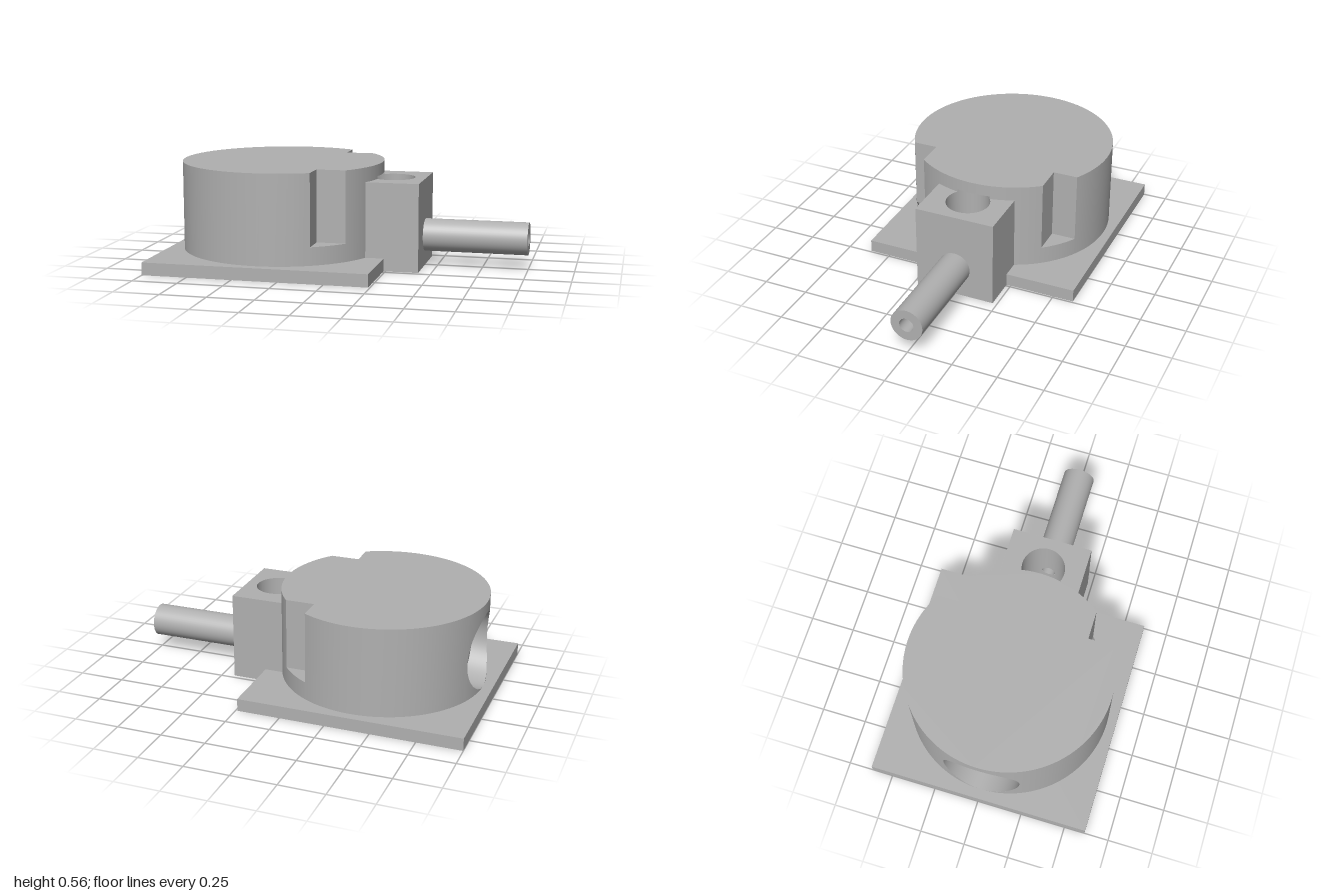
import * as THREE from 'three';

const CX = -0.38, R = 0.565, BASE = 0.07, TOP = 0.565;      // round body
const NX = -0.1, NZ = 0.355, NY = 0.17;                     // corner notches
const HX = 0.25, HR = 0.12, HTOP = 0.5;                     // vertical hole
const BX0 = 0.12, BX1 = 0.43, BZ = 0.225, BTOP = 0.485;     // side block
const TY = 0.17, TR = 0.09, BORE = 0.04;                    // tube
const RY = 0.285, RR = 0.215, RX = -0.82, PORT = 0.025;     // round side recess

export function createModel() {
  const model = new THREE.Group();
  const grey = new THREE.MeshStandardMaterial({ color: 0xb0b0b0, side: THREE.DoubleSide });
  grey.name = 'grey metal';

  const add = (name, geometry, x = 0, y = 0, z = 0, parent = model) => {
    const mesh = new THREE.Mesh(geometry, grey);
    mesh.name = name;
    mesh.position.set(x, y, z);
    parent.add(mesh);
    return mesh;
  };
  const group = (name) => {
    const g = new THREE.Group();
    g.name = name;
    model.add(g);
    return g;
  };

  // Smooth surface between two rows of points
  const strip = (a, b) => {
    const pos = [], index = [];
    a.forEach((p, i) => {
      pos.push(...p, ...b[i]);
      const k = i * 2;
      if (i < a.length - 1) index.push(k, k + 1, k + 2, k + 1, k + 3, k + 2);
    });
    const g = new THREE.BufferGeometry();
    g.setAttribute('position', new THREE.Float32BufferAttribute(pos, 3));
    g.setIndex(index);
    g.computeVertexNormals();
    return g;
  };
  // Upright curved wall from angle a0 to a1; lo and hi give its edges (a0 > a1 faces inward)
  const wall = (cx, r, a0, a1, lo, hi, n = 40) => {
    const low = [], high = [];
    for (let i = 0; i <= n; i++) {
      const a = a0 + (a1 - a0) * i / n, x = cx + r * Math.cos(a), z = r * Math.sin(a);
      low.push([x, lo(z), z]);
      high.push([x, hi(z), z]);
    }
    return strip(low, high);
  };
  const at = (v) => () => v;
  const gap = (r, z) => Math.sqrt(Math.max(0, r * r - z * z));
  const circleHole = (shape, x, y, r) => {
    shape.holes.push(new THREE.Path().absarc(x, y, r, 0, Math.PI * 2, true));
    return shape;
  };
  const rect = (x0, y0, x1, y1) => new THREE.Shape([[x0, y0], [x1, y0], [x1, y1], [x0, y1]]
    .map((p) => new THREE.Vector2(...p)));
  const face = (shape) => new THREE.ShapeGeometry(shape, 64);

  // Base plate
  add('basePlate', new THREE.BoxGeometry(1.24, BASE, 1.23), -0.38, BASE / 2, 0);

  // Round body: curved walls, mirrored front to back
  const body = group('roundBody');
  const d = HX - CX, meetX = (R * R - HR * HR + d * d) / (2 * d);
  const aHole = Math.acos(meetX / R);
  const aN1 = Math.asin(NZ / R), aN2 = Math.acos((NX - CX) / R);
  const aRec = Math.PI - Math.asin(RR / R);
  const parts = [
    [0, aHole, at(HTOP), at(TOP)],
    [aHole, aN1, at(BASE), at(TOP)],
    [aN1, aN2, at(BASE), at(NY)],
    [aN2, aRec, at(BASE), at(TOP)],
    [aRec, Math.PI, at(BASE), (z) => RY - gap(RR, z)],
    [aRec, Math.PI, (z) => RY + gap(RR, z), at(TOP)],
  ];
  for (const [a, b, lo, hi] of parts) {
    add('bodyWall', wall(CX, R, a, b, lo, hi), 0, 0, 0, body);
    add('bodyWall', wall(CX, R, -b, -a, lo, hi), 0, 0, 0, body);
  }

  // Body top with two notched corners
  const top = new THREE.Shape();
  top.absarc(CX, 0, R, -aN1, aN1, false);
  top.lineTo(NX, NZ);
  top.absarc(CX, 0, R, aN2, Math.PI * 2 - aN2, false);
  top.lineTo(NX, -NZ);
  add('bodyTop', face(top).rotateX(-Math.PI / 2), 0, TOP, 0, body);

  // Notch floors and sides
  const nx1 = CX + R * Math.cos(aN1), nz1 = R * Math.sin(aN2), nh = TOP - NY;
  for (const s of [1, -1]) {
    const floor = new THREE.Shape();
    floor.moveTo(NX, -s * NZ);
    floor.absarc(CX, 0, R, -s * aN1, -s * aN2, s > 0);
    add('notchFloor', face(floor).rotateX(-Math.PI / 2), 0, NY, 0, body);
    add('notchSide', new THREE.PlaneGeometry(nx1 - NX, nh).rotateY(s > 0 ? 0 : Math.PI),
      (NX + nx1) / 2, NY + nh / 2, s * NZ, body);
    add('notchEnd', new THREE.PlaneGeometry(nz1 - NZ, nh).rotateY(Math.PI / 2),
      NX, NY + nh / 2, s * (NZ + nz1) / 2, body);
  }

  // Round recess in the side, with a small port in its floor
  const recess = group('sideRecess');
  const rim = [], foot = [];
  for (let i = 0; i <= 64; i++) {
    const t = i / 64 * Math.PI * 2, y = RY + RR * Math.cos(t), z = RR * Math.sin(t);
    rim.push([CX - gap(R, z), y, z]);
    foot.push([RX, y, z]);
  }
  add('recessWall', strip(rim, foot), 0, 0, 0, recess);
  const disc = circleHole(new THREE.Shape().absarc(0, 0, RR, 0, Math.PI * 2, false), 0, 0, PORT);
  add('recessFloor', face(disc).rotateY(-Math.PI / 2), RX, RY, 0, recess);
  add('recessPort', new THREE.CylinderGeometry(PORT, PORT, 0.2, 24, 1, true).rotateZ(Math.PI / 2),
    RX + 0.1, RY, 0, recess);

  // Side block
  const block = group('sideBlock');
  add('blockTop', face(circleHole(rect(BX0, -BZ, BX1, BZ), HX, 0, HR)).rotateX(-Math.PI / 2), 0, BTOP, 0, block);
  add('blockBottom', face(rect(BX0, -BZ, BX1, BZ)).rotateX(Math.PI / 2), 0, 0, 0, block);
  add('blockEnd', face(circleHole(rect(-BZ, 0, BZ, BTOP), 0, TY, BORE)).rotateY(Math.PI / 2), BX1, 0, 0, block);
  for (const s of [1, -1]) {
    add('blockSide', new THREE.PlaneGeometry(BX1 - BX0, BTOP).rotateY(s > 0 ? 0 : Math.PI),
      (BX0 + BX1) / 2, BTOP / 2, s * BZ, block);
  }

  // Vertical hole, running a little higher where it cuts into the body
  const hole = group('verticalHole');
  const aB = Math.asin(BORE / HR), aC = Math.acos((CX + meetX - HX) / HR);
  const holeWalls = [
    [Math.PI * 2 - aC, aC, at(BASE), at(HTOP)],
    [aC, aB, at(BASE), at(BTOP)],
    [-aB, -aC, at(BASE), at(BTOP)],
    [aB, -aB, at(BASE), (z) => TY - gap(BORE, z)],
    [aB, -aB, (z) => TY + gap(BORE, z), at(BTOP)],
  ];
  for (const [a, b, lo, hi] of holeWalls) add('holeWall', wall(HX, HR, a, b, lo, hi), 0, 0, 0, hole);
  add('holeFloor', new THREE.CircleGeometry(HR, 48).rotateX(-Math.PI / 2), HX, BASE + 0.002, 0, hole);
  const lens = new THREE.Shape();
  lens.absarc(HX, 0, HR, aC, Math.PI * 2 - aC, false);
  lens.absarc(CX, 0, R, -aHole, aHole, false);
  add('holeCeiling', face(lens).rotateX(Math.PI / 2), 0, HTOP, 0, hole);

  // Outlet tube with a bore that reaches the vertical hole
  const tube = group('outletTube');
  const pipe = (name, r, x0, x1) => add(name,
    new THREE.CylinderGeometry(r, r, x1 - x0, 48, 1, true).rotateZ(Math.PI / 2), (x0 + x1) / 2, TY, 0, tube);
  pipe('tubeOuter', TR, BX1, 1);
  pipe('tubeBore', BORE, HX + HR - 0.003, 1);
  add('tubeEnd', new THREE.RingGeometry(BORE, TR, 48).rotateY(Math.PI / 2), 1, TY, 0, tube);

  return model;
}
